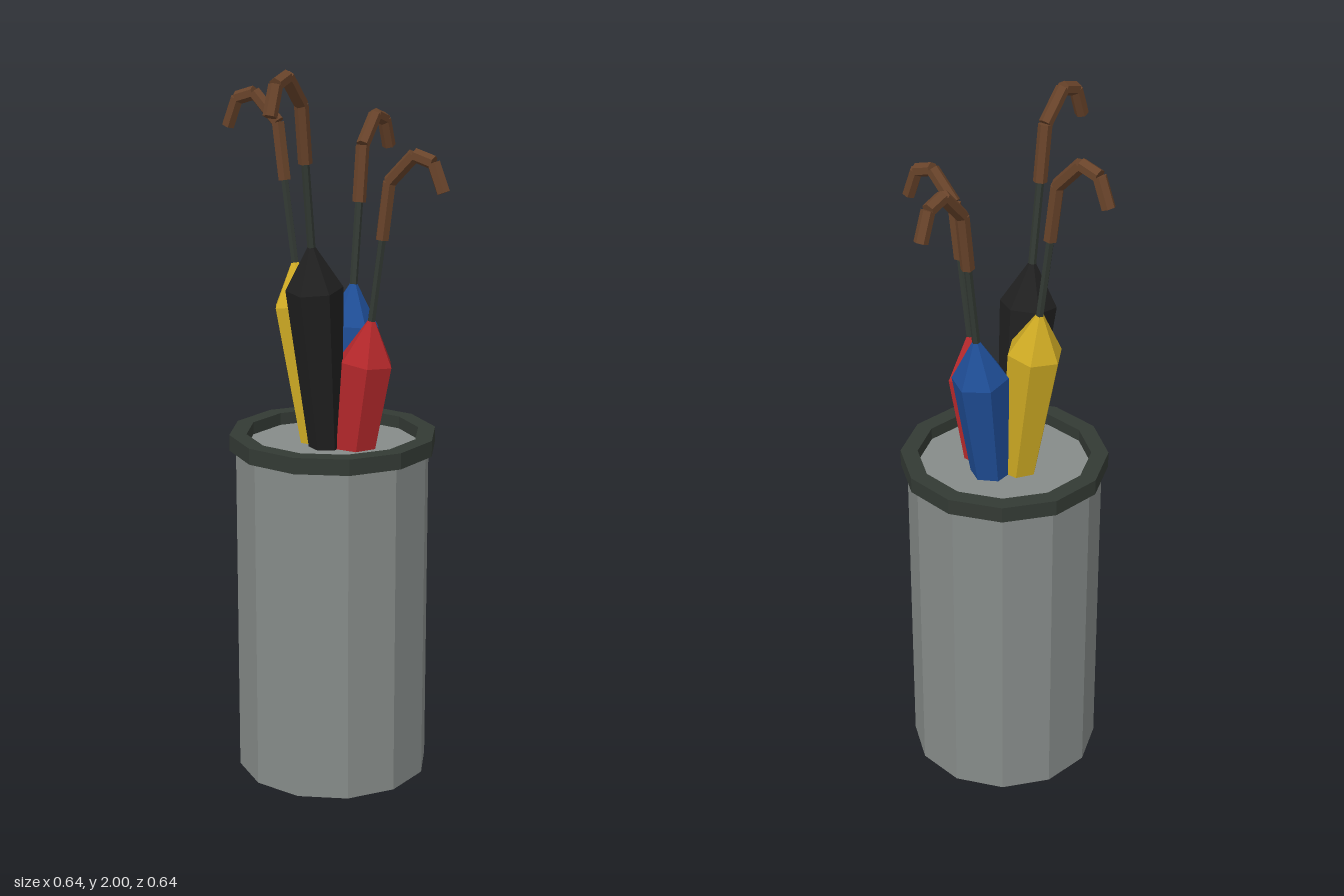
import * as THREE from 'three';

const paint = (name, color) => {
  const m = new THREE.MeshStandardMaterial({ color, flatShading: true });
  m.name = name;
  return m;
};

// Six-sided tapered rod between two points of the umbrella's own xy plane
function rod(name, material, from, to, r0, r1) {
  const a = new THREE.Vector3(from[0], from[1], 0);
  const b = new THREE.Vector3(to[0], to[1], 0);
  const dir = b.clone().sub(a);
  const geo = new THREE.CylinderGeometry(r1, r0, dir.length(), 6);
  geo.rotateY(Math.PI / 6);
  const mesh = new THREE.Mesh(geo, material);
  mesh.name = name;
  mesh.position.copy(a).add(b).multiplyScalar(0.5);
  mesh.quaternion.setFromUnitVectors(new THREE.Vector3(0, 1, 0), dir.normalize());
  return mesh;
}

// Folded umbrella leaning outward along +x; heights are measured from the canopy tip
function umbrella(name, cloth, metal, wood) {
  const group = new THREE.Group();
  group.name = name;
  const lean = (y) => [0.12 + 0.137 * y, y];
  group.add(rod('canopy', cloth, lean(-0.62), lean(-0.12), 0.044, 0.078));
  group.add(rod('canopyTop', cloth, lean(-0.12), lean(0), 0.078, 0.008));
  group.add(rod('shaft', metal, lean(-0.03), lean(0.24), 0.011, 0.011));
  // Crook handle in straight pieces
  const crook = [lean(0.22), [0.17, 0.375], [0.243, 0.451], [0.299, 0.434], [0.329, 0.357]];
  for (let i = 0; i < crook.length - 1; i++) {
    group.add(rod('handle', wood, crook[i], crook[i + 1], 0.019, 0.019));
  }
  return group;
}

export function createModel() {
  const grey = paint('grey', 0x868b89);
  const dark = paint('darkGreen', 0x333a34);
  const wood = paint('brown', 0x68432a);
  const model = new THREE.Group();
  model.name = 'umbrellaStand';

  // Twelve-sided drum
  const drum = new THREE.Mesh(new THREE.CylinderGeometry(0.272, 0.272, 0.955, 12), grey);
  drum.name = 'drum';
  drum.position.y = 0.955 / 2;
  model.add(drum);

  // Raised rim ring
  const profile = [[0.242, 0.945], [0.29, 0.945], [0.29, 0.99], [0.242, 0.99], [0.242, 0.945]];
  const rim = new THREE.Mesh(
    new THREE.LatheGeometry(profile.map(([x, y]) => new THREE.Vector2(x, y)), 12), dark);
  rim.name = 'rim';
  model.add(rim);

  // Four umbrellas a quarter turn apart, each at its own height
  const kinds = [
    ['redUmbrella', paint('red', 0xb5282b), 1.32],
    ['blueUmbrella', paint('blue', 0x1f4e97), 1.39],
    ['yellowUmbrella', paint('yellow', 0xcfab24), 1.46],
    ['blackUmbrella', paint('black', 0x202020), 1.53],
  ];
  kinds.forEach(([name, cloth, tip], i) => {
    const u = umbrella(name, cloth, dark, wood);
    u.position.y = tip;
    u.rotation.y = Math.PI / 8 + i * Math.PI / 2;
    model.add(u);
  });
  return model;
}
